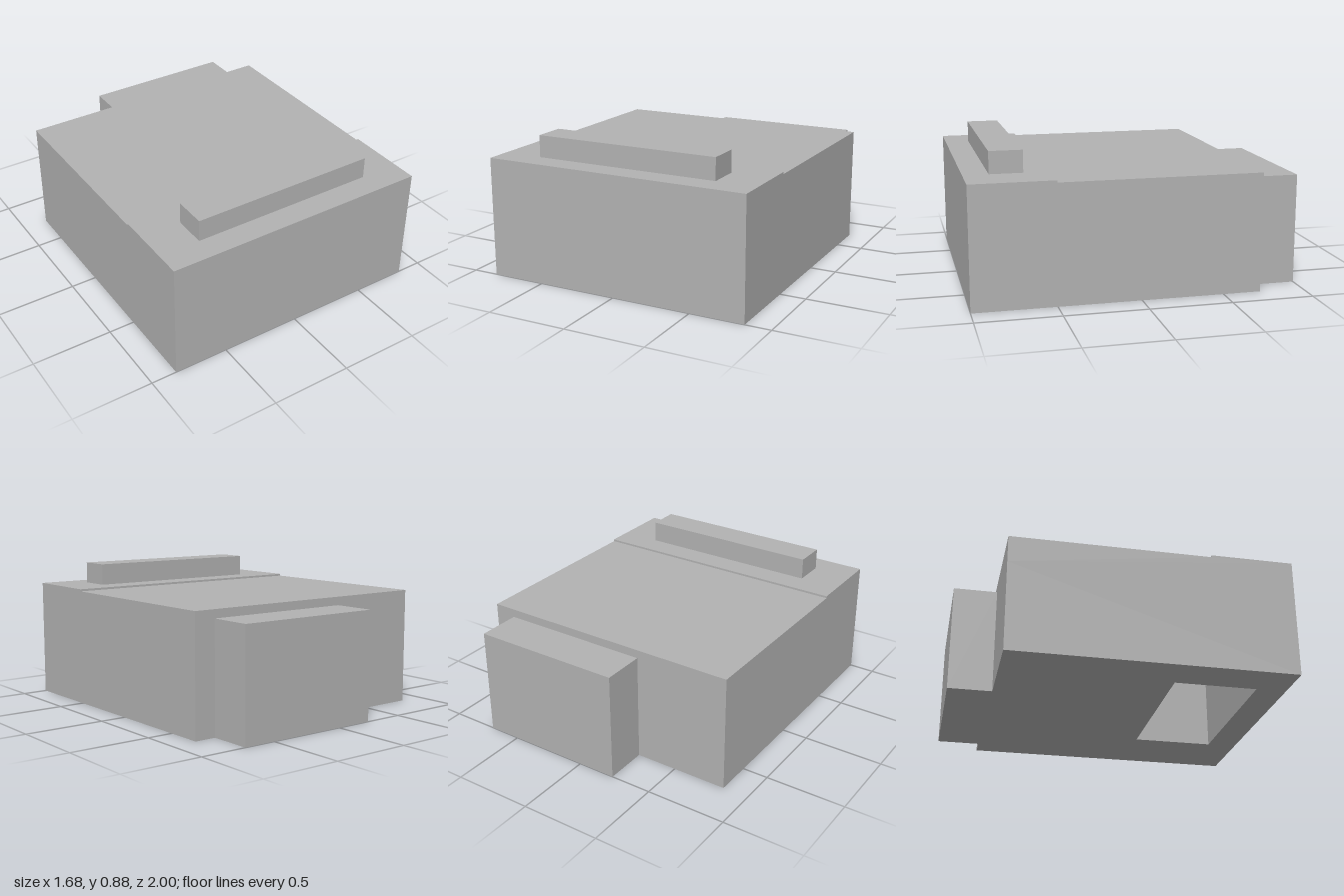
import * as THREE from 'three';

const HALF_W = 0.84, FRONT = 1, BACK = -0.73, POCKET = 0.56;

// Closed shape from corner points
const outline = (points) => new THREE.Shape(points.map(([a, b]) => new THREE.Vector2(a, b)));

export function createModel() {
  const group = new THREE.Group();
  const grey = new THREE.MeshStandardMaterial({ color: 0xb2b2b2 });
  grey.name = 'plain grey';

  const add = (name, geometry) => {
    const mesh = new THREE.Mesh(geometry, grey);
    mesh.name = name;
    group.add(mesh);
  };
  const block = (name, x0, x1, y0, y1, z0, z1) => add(name,
    new THREE.BoxGeometry(x1 - x0, y1 - y0, z1 - z0)
      .translate((x0 + x1) / 2, (y0 + y1) / 2, (z0 + z1) / 2));

  // Lower body: rectangular plan with a pocket open to the underside
  const plan = outline([
    [-HALF_W, -FRONT], [HALF_W, -FRONT], [HALF_W, -BACK], [-HALF_W, -BACK],
  ]);
  plan.holes.push(outline([
    [-0.585, -0.815], [-0.585, -0.31], [0.405, -0.31], [0.405, -0.815],
  ]));
  add('lowerBody', new THREE.ExtrudeGeometry(plan, { depth: POCKET, bevelEnabled: false })
    .rotateX(-Math.PI / 2));

  // Upper body: side profile with a shallow step behind the front strip
  const profile = outline([
    [BACK, POCKET], [FRONT, POCKET], [FRONT, 0.74], [0.495, 0.74], [0.495, 0.727], [BACK, 0.727],
  ]);
  add('upperBody', new THREE.ExtrudeGeometry(profile, { depth: 2 * HALF_W, bevelEnabled: false })
    .rotateY(-Math.PI / 2).translate(HALF_W, 0, 0));

  // Raised bar on the front strip and extension at the back
  block('topBar', -0.585, 0.585, 0.74, 0.875, 0.648, 0.848);
  block('rearExtension', -0.24, 0.705, 0, 0.675, -1, BACK);

  return group;
}
